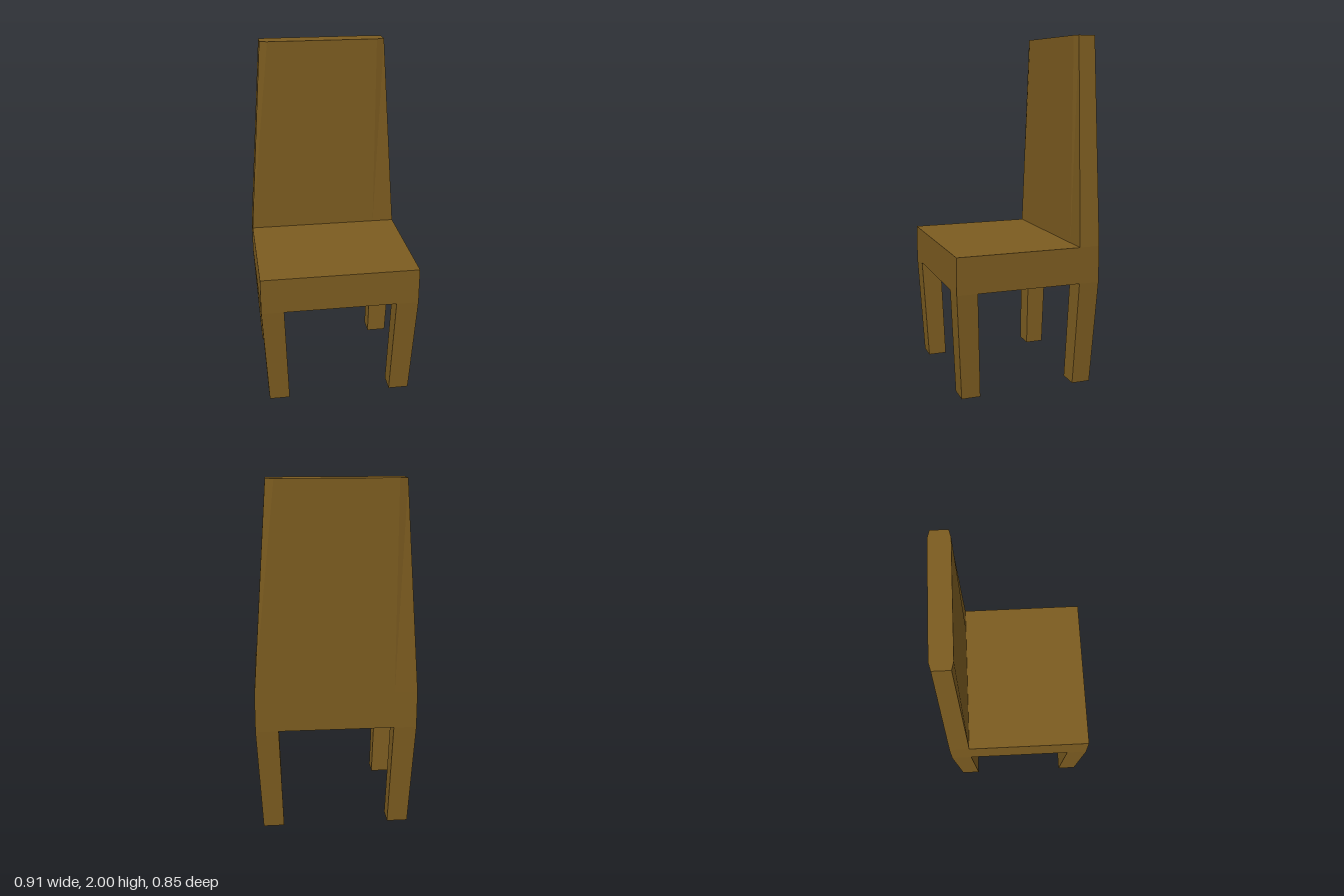
import * as THREE from 'three';

const wood = new THREE.MeshStandardMaterial({ color: 0x7c5c20, flatShading: true });

// Solid between two matching [x, z] outlines, listed counter-clockwise from above
function loft(name, lower, upper, y0, y1) {
  const n = lower.length;
  const lo = lower.map(([x, z]) => [x, y0, z]);
  const hi = upper.map(([x, z]) => [x, y1, z]);
  const p = [];
  const tri = (a, b, c) => p.push(...a, ...b, ...c);
  for (let i = 0; i < n; i++) {
    const j = (i + 1) % n;
    tri(lo[i], lo[j], hi[j]);
    tri(lo[i], hi[j], hi[i]);
  }
  for (let i = 1; i < n - 1; i++) {
    tri(hi[0], hi[i], hi[i + 1]);
    tri(lo[0], lo[i + 1], lo[i]);
  }
  const geometry = new THREE.BufferGeometry();
  geometry.setAttribute('position', new THREE.Float32BufferAttribute(p, 3));
  geometry.computeVertexNormals();
  const mesh = new THREE.Mesh(geometry, wood);
  mesh.name = name;
  return mesh;
}

const rect = (x0, x1, z0, z1) => [[x0, z1], [x1, z1], [x1, z0], [x0, z0]];

// Backrest outline: constant thickness in the middle, own thickness at the outer edges
const backOutline = (x, front, back) => [
  [-x, front], [-0.327, -0.304], [0.327, -0.304], [x, front],
  [x, back], [0.327, -0.424], [-0.327, -0.424], [-x, back],
];

export function createModel() {
  const chair = new THREE.Group();
  chair.name = 'chair';

  // Thick seat block
  const seat = new THREE.Mesh(new THREE.BoxGeometry(0.914, 0.212, 0.848), wood);
  seat.name = 'seat';
  seat.position.y = 0.714;
  chair.add(seat);

  // Backrest narrowing to the top, with slightly pinched outer edges
  chair.add(loft('backrest', backOutline(0.457, -0.304, -0.424),
    backOutline(0.372, -0.315, -0.412), 0.82, 2));

  // Four legs tapering and leaning inwards to the floor
  for (const sx of [1, -1]) {
    for (const sz of [1, -1]) {
      const span = (s, a, b) => (s > 0 ? [a, b] : [-b, -a]);
      const name = (sz > 0 ? 'front' : 'back') + (sx > 0 ? 'Left' : 'Right') + 'Leg';
      chair.add(loft(name,
        rect(...span(sx, 0.305, 0.424), ...span(sz, 0.283, 0.392)),
        rect(...span(sx, 0.327, 0.457), ...span(sz, 0.304, 0.424)), 0, 0.608));
    }
  }
  return chair;
}
